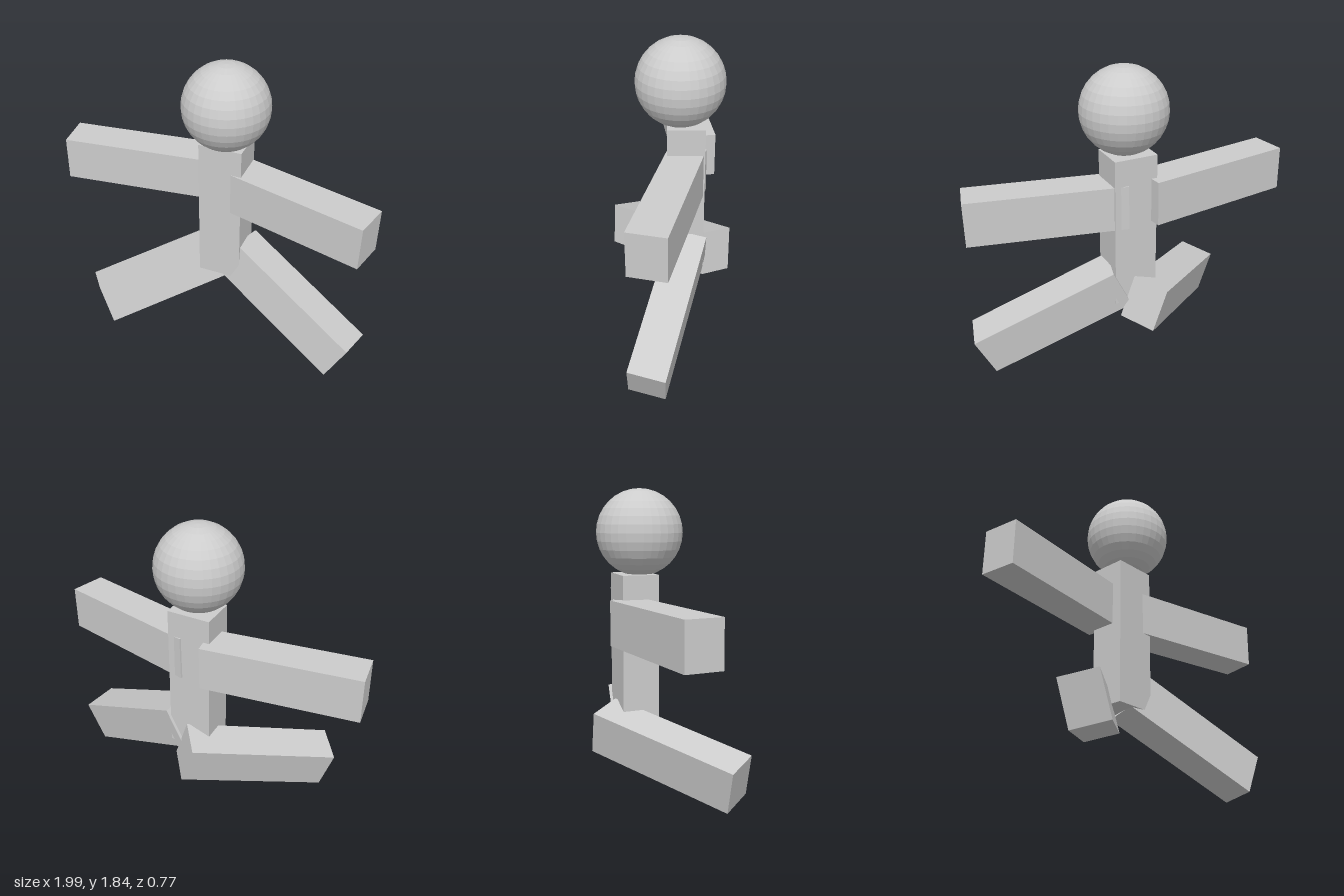
import * as THREE from 'three';

const LENGTH = 0.93, HEIGHT = 0.268, DEPTH = 0.22;

export function createModel() {
  const group = new THREE.Group();
  group.name = 'blockFigure';

  const grey = new THREE.MeshStandardMaterial({ color: 0xcccccc, flatShading: true });
  grey.name = 'light grey';

  function add(name, geometry, center) {
    const mesh = new THREE.Mesh(geometry, grey);
    mesh.name = name;
    mesh.position.set(...center);
    group.add(mesh);
    return mesh;
  }

  // Limb: a box laid along an outward direction, its height axis close to "up"
  function addLimb(name, center, along, up) {
    const x = new THREE.Vector3(...along).normalize();
    const z = x.clone().cross(new THREE.Vector3(...up)).normalize();
    const y = z.clone().cross(x);
    const limb = add(name, new THREE.BoxGeometry(LENGTH, HEIGHT, DEPTH), center);
    limb.quaternion.setFromRotationMatrix(new THREE.Matrix4().makeBasis(x, y, z));
  }

  // Head and torso
  add('head', new THREE.SphereGeometry(0.257, 32, 16), [0.041, 1.593, -0.07]);
  add('torso', new THREE.BoxGeometry(0.266, 0.92, DEPTH), [0.033, 0.89, -0.103]);

  // Arms
  addLimb('leftArm', [0.508, 1.05, -0.005], [0.97, -0.016, 0.242], [0, 1, 0]);
  addLimb('rightArm', [-0.52, 1.077, -0.113], [-0.991, 0.008, 0.13], [0, 1, 0]);

  // Legs
  addLimb('leftLeg', [0.503, 0.342, -0.001], [0.862, -0.431, 0.263], [0.425, 0.905, -0.01]);
  addLimb('rightLeg', [-0.316, 0.335, -0.005], [-0.732, -0.227, 0.64], [-0.32, 0.947, -0.03]);

  return group;
}
